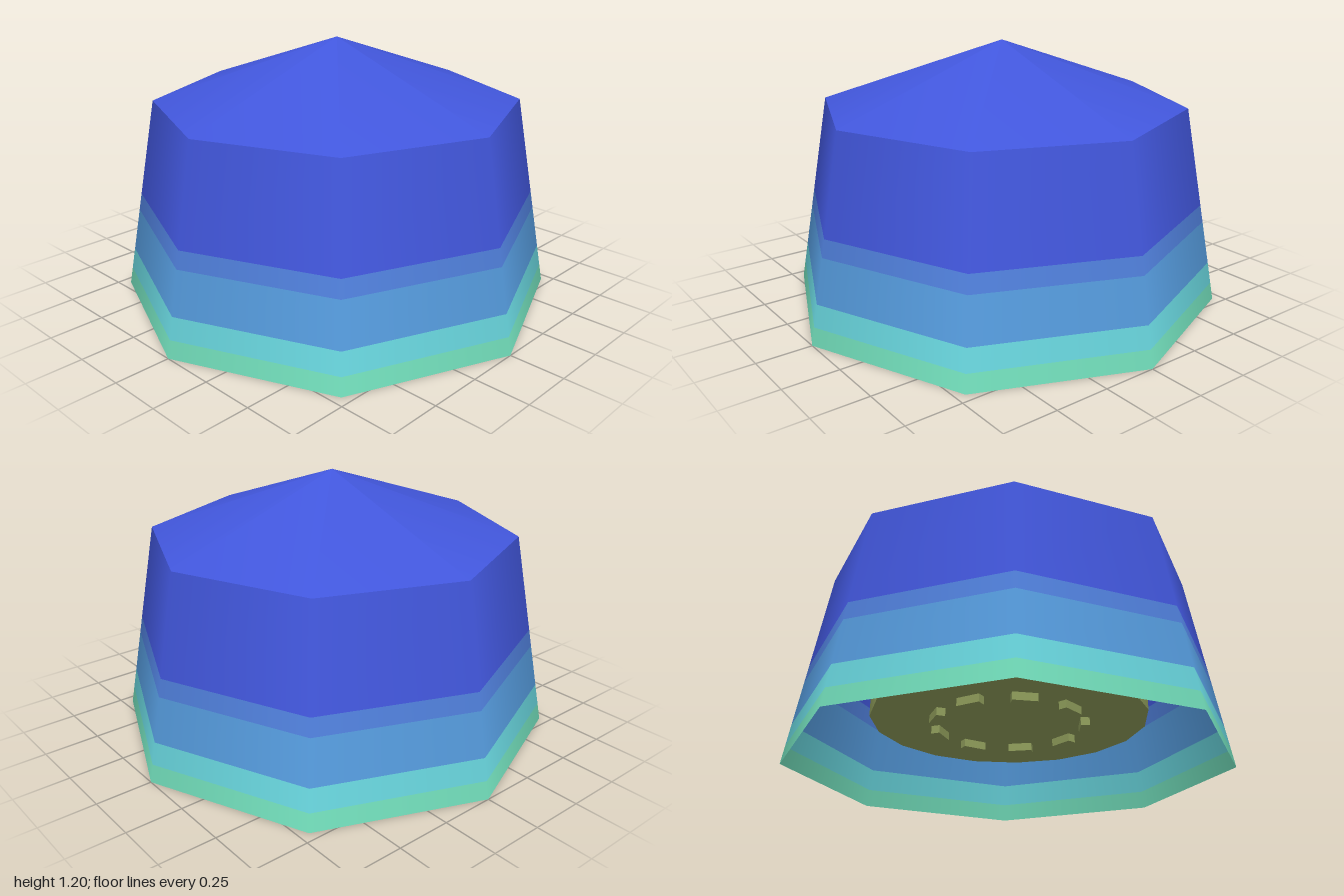
import * as THREE from 'three';

const SIDES = 8, EAVE = 0.91, EAVE_R = 0.835;
const wallRadius = (y) => 1 + (EAVE_R - 1) * (y / EAVE);

function paint(name, color, side = THREE.FrontSide) {
  const m = new THREE.MeshStandardMaterial({ color, side });
  m.name = name;
  return m;
}

export function createModel() {
  const model = new THREE.Group();
  model.name = 'bell';
  const add = (name, geometry, material, parent = model) => {
    const mesh = new THREE.Mesh(geometry, material);
    mesh.name = name;
    parent.add(mesh);
    return mesh;
  };

  const blue = paint('deep blue', 0x4257dd, THREE.DoubleSide);
  const olive = paint('olive', 0x919f5c);

  // open, tapering shell in horizontal colour bands: name, bottom, top, material
  const bands = [
    ['rimBand', 0, 0.08, paint('sea green', 0x72debb, THREE.DoubleSide)],
    ['cyanBand', 0.08, 0.18, paint('cyan', 0x68d5dd, THREE.DoubleSide)],
    ['skyBand', 0.18, 0.38, paint('sky blue', 0x559bdd, THREE.DoubleSide)],
    ['midBand', 0.38, 0.46, paint('mid blue', 0x5080dc, THREE.DoubleSide)],
    ['upperWall', 0.46, EAVE, blue],
  ];
  for (const [name, y0, y1, material] of bands) {
    const g = new THREE.CylinderGeometry(wallRadius(y1), wallRadius(y0), y1 - y0, SIDES, 1, true);
    add(name, g, material).position.y = (y0 + y1) / 2;
  }

  // shallow pointed cap
  const cap = new THREE.CylinderGeometry(0, EAVE_R, 1.2 - EAVE, SIDES, 1, true);
  add('cap', cap, blue).position.y = (1.2 + EAVE) / 2;

  // disc hanging inside the shell
  add('innerDisc', new THREE.CylinderGeometry(0.62, 0.62, 0.13, 18), olive).position.y = 0.271;

  // ring of small teeth under the disc
  const teeth = new THREE.Group();
  teeth.name = 'teeth';
  model.add(teeth);
  const toothGeometry = new THREE.BoxGeometry(0.11, 0.04, 0.04);
  for (let i = 0; i < 9; i++) {
    const a = (i / 9) * Math.PI * 2 + 0.6;
    const tooth = add('tooth', toothGeometry, olive, teeth);
    tooth.position.set(Math.sin(a) * 0.335, 0.19, Math.cos(a) * 0.335);
    tooth.rotation.y = a;
  }
  return model;
}
